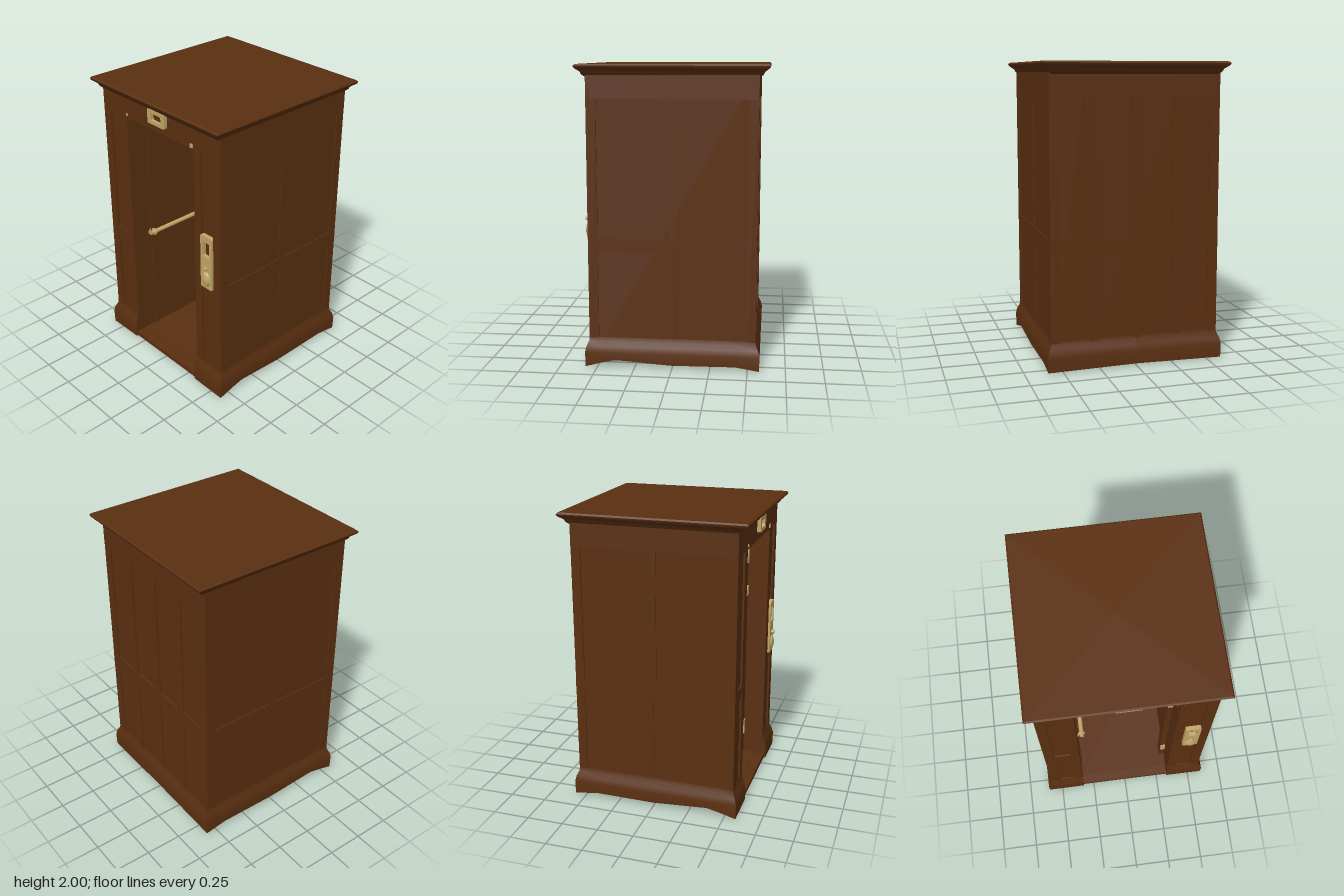
import * as THREE from 'three';
import { toCreasedNormals } from 'three/addons/utils/BufferGeometryUtils.js';

const mat = (name, color) => {
  const m = new THREE.MeshStandardMaterial({ color });
  m.name = name;
  return m;
};

export function createModel() {
  const wood = mat('brown wood', 0x5a2f10);
  const brass = mat('brass', 0xc2a668);
  const glass = mat('grey glass', 0x6e7562);
  const root = new THREE.Group();

  const add = (name, geo, material, x = 0, y = 0, z = 0, parent = root) => {
    const m = new THREE.Mesh(geo, material);
    m.name = name;
    m.position.set(x, y, z);
    parent.add(m);
    return m;
  };
  // Box from its minimum and maximum on each axis
  const span = (name, x0, x1, y0, y1, z0, z1, material = wood, parent = root) =>
    add(name, new THREE.BoxGeometry(x1 - x0, y1 - y0, z1 - z0), material,
      (x0 + x1) / 2, (y0 + y1) / 2, (z0 + z1) / 2, parent);

  // Cabin shell: thick side walls, back wall, ceiling and floor
  span('leftWall', 0.33, 0.565, 0.035, 1.95, -0.54, 0.542);
  span('rightWall', -0.565, -0.33, 0.035, 1.95, -0.54, 0.542);
  span('backWall', -0.33, 0.33, 0.035, 1.95, -0.54, -0.47);
  span('ceiling', -0.33, 0.33, 1.78, 1.95, -0.47, 0.555);
  span('floor', -0.33, 0.33, 0.03, 0.045, -0.47, 0.5);
  span('doorSill', -0.33, 0.33, 0.008, 0.04, 0.46, 0.57);

  // Raised stiles and rails on both sides
  for (const s of [-1, 1]) {
    const panel = new THREE.Group();
    panel.name = s > 0 ? 'leftSidePanelling' : 'rightSidePanelling';
    root.add(panel);
    const strip = (y0, y1, z0, z1, t = 0.574) =>
      span('sideStrip', s > 0 ? 0.55 : -t, s > 0 ? t : -0.55, y0, y1, z0, z1, wood, panel);
    strip(1.78, 1.95, -0.55, 0.553);
    strip(0.78, 0.87, -0.49, 0.49, 0.573);
    strip(0.04, 0.18, -0.49, 0.49);
    strip(0.04, 1.78, 0.49, 0.553);
    strip(0.04, 1.78, -0.55, -0.49);
    strip(0.18, 0.78, -0.04, 0.0, 0.571);
    strip(0.87, 1.78, -0.02, 0.02, 0.571);
  }

  // Back panelling: four columns in two rows
  const back = new THREE.Group();
  back.name = 'backPanelling';
  root.add(back);
  for (const [y0, y1] of [[0.04, 0.18], [0.77, 0.88], [1.78, 1.95]])
    span('backRail', -0.574, 0.574, y0, y1, -0.553, -0.535, wood, back);
  for (const [x, w] of [[-0.54, 0.034], [-0.28, 0.03], [0, 0.03], [0.28, 0.03], [0.54, 0.034]])
    span('backStile', x - w, x + w, 0.18, 1.78, -0.552, -0.535, wood, back);

  // Front pilasters with sunken panels beside the doorway
  for (const s of [-1, 1]) {
    const front = new THREE.Group();
    front.name = s > 0 ? 'leftPilaster' : 'rightPilaster';
    root.add(front);
    const strip = (x0, x1, y0, y1, z = 0.555) =>
      span('frontStrip', Math.min(s * x0, s * x1), Math.max(s * x0, s * x1), y0, y1, 0.53, z, wood, front);
    strip(0.33, 0.395, 0.03, 1.95);
    strip(0.505, 0.574, 0.03, 1.95);
    strip(0.395, 0.505, 1.78, 1.95);
    strip(0.395, 0.505, 0.03, 0.18);
    if (s < 0) strip(0.395, 0.505, 0.8, 0.88, 0.553);
  }

  // Square crown moulding and flat roof
  const crown = new THREE.LatheGeometry(
    [[0, 1.92], [0.56, 1.92], [0.578, 1.935], [0.585, 1.952], [0.605, 1.967], [0.618, 1.977],
      [0.622, 1.99], [0.612, 2], [0, 2]].map(([r, y]) => new THREE.Vector2(r * Math.SQRT2, y)), 4);
  crown.rotateY(Math.PI / 4);
  add('crownMoulding', toCreasedNormals(crown, 0.7), wood);

  // Flared skirt swept round the cabin, open at the doorway: [x, z, outward x, outward z, lift]
  const path = [
    [0.33, 0.553, 0, 1, 0.005], [0.573, 0.553, 1, 1, 0], [0.573, 0.47, 1, 0, 0.03],
    [0.573, 0.38, 1, 0, 0.05], [0.573, 0, 1, 0, 0.025], [0.573, -0.42, 1, 0, 0.03],
    [0.573, -0.55, 1, -1, 0.005], [0, -0.55, 0, -1, 0.015],
  ];
  const mirrored = path.slice(0, -1).reverse().map(([x, z, u, w, l]) => [-x, z, -u, w, l]);
  const loop = [...path, ...mirrored];
  const profile = [[-0.08, 0.04], [-0.08, 0], [0.027, 0], [0.029, 0.1], [0.02, 0.14], [0.005, 0.172], [0, 0.2]];
  const pos = [], idx = [], n = profile.length;
  for (const [x, z, u, w, lift] of loop)
    for (const [o, y] of profile) pos.push(x + u * o, Math.max(y, lift), z + w * o);
  for (let i = 0; i < loop.length - 1; i++)
    for (let j = 0; j < n - 1; j++) {
      const a = i * n + j, b = a + n;
      idx.push(a, a + 1, b, a + 1, b + 1, b);
    }
  const last = (loop.length - 1) * n;
  for (let j = 1; j < n - 1; j++) {
    idx.push(0, j + 1, j);
    idx.push(last, last + j, last + j + 1);
  }
  const skirtGeo = new THREE.BufferGeometry();
  skirtGeo.setAttribute('position', new THREE.Float32BufferAttribute(pos, 3));
  skirtGeo.setIndex(idx);
  const skirtWood = wood;
  skirtWood.side = THREE.DoubleSide;
  add('baseSkirt', toCreasedNormals(skirtGeo, 0.6), skirtWood);

  // Inner door frame and wall mouldings
  span('doorJamb', 0.292, 0.33, 0.045, 1.765, 0.34, 0.41);
  span('wallMoulding', -0.33, -0.322, 0.045, 1.78, 0.36, 0.4);
  span('rearMoulding', -0.33, -0.282, 0.045, 1.765, -0.47, -0.455);
  span('rearTopMoulding', -0.33, 0.33, 1.755, 1.78, -0.47, -0.455);
  span('rearBottomMoulding', -0.33, 0.33, 0.045, 0.06, -0.47, -0.455);

  // Brass hinges on the jamb and small studs above the doorway
  for (const [y0, y1] of [[0.2, 0.31], [1.29, 1.36], [1.53, 1.67]])
    span('hinge', 0.295, 0.332, y0, y1, 0.405, 0.418, brass);
  span('stud', 0.305, 0.33, 1.79, 1.815, 0.55, 0.562, brass);
  span('stud', -0.33, -0.315, 1.795, 1.812, 0.55, 0.56, brass);

  // Handrails on the back wall and the right wall
  const handrail = (name, length) => {
    const g = new THREE.Group();
    g.name = name;
    const bar = add('bar', new THREE.CylinderGeometry(0.015, 0.015, length, 14), brass, 0, 0, 0, g);
    bar.rotation.z = Math.PI / 2;
    for (const s of [-1, 1]) {
      const x = s * (length / 2 - 0.025);
      const collar = add('collar', new THREE.TorusGeometry(0.019, 0.008, 8, 16), brass, x, 0, 0, g);
      collar.rotation.y = Math.PI / 2;
      const post = add('post', new THREE.CylinderGeometry(0.01, 0.01, 0.04, 10), brass, x, -0.012, -0.02, g);
      post.rotation.x = Math.PI / 2;
      const flange = add('flange', new THREE.CylinderGeometry(0.028, 0.032, 0.01, 16), brass, x, -0.012, -0.036, g);
      flange.rotation.x = Math.PI / 2;
    }
    root.add(g);
    return g;
  };
  handrail('backHandrail', 0.56).position.set(0.01, 0.86, -0.43);
  const side = handrail('rightHandrail', 0.72);
  side.position.set(-0.297, 0.86, 0.06);
  side.rotation.y = Math.PI / 2;

  // Brass plates with a rectangular window
  const plate = (name, w, h, hw, hh, hy, depth) => {
    const rect = (target, a, b, cy) => {
      const c = 0.012;
      target.moveTo(-a + c, cy - b);
      target.lineTo(a - c, cy - b).quadraticCurveTo(a, cy - b, a, cy - b + c);
      target.lineTo(a, cy + b - c).quadraticCurveTo(a, cy + b, a - c, cy + b);
      target.lineTo(-a + c, cy + b).quadraticCurveTo(-a, cy + b, -a, cy + b - c);
      target.lineTo(-a, cy - b + c).quadraticCurveTo(-a, cy - b, -a + c, cy - b);
      return target;
    };
    const shape = rect(new THREE.Shape(), w / 2, h / 2, 0);
    shape.holes.push(rect(new THREE.Path(), hw / 2, hh / 2, hy));
    return add(name, new THREE.ExtrudeGeometry(shape, { depth, bevelEnabled: false, curveSegments: 4 }), brass);
  };
  plate('floorIndicator', 0.165, 0.1, 0.095, 0.05, -0.002, 0.027).position.set(0.005, 1.885, 0.552);
  plate('callPanel', 0.106, 0.39, 0.06, 0.11, 0.097, 0.03).position.set(0.453, 1.027, 0.54);
  add('callPanelBoss', new THREE.SphereGeometry(1, 20, 14), brass, 0.453, 0.905, 0.566).scale.set(0.04, 0.055, 0.024);
  const knob = add('callButton', new THREE.CylinderGeometry(0.013, 0.015, 0.025, 16), brass, 0.453, 0.985, 0.578);
  knob.rotation.x = Math.PI / 2;

  // Glass ceiling lamp
  add('ceilingLamp', new THREE.CylinderGeometry(0.095, 0.01, 0.095, 12), glass, 0.01, 1.73, 0);

  return root;
}
